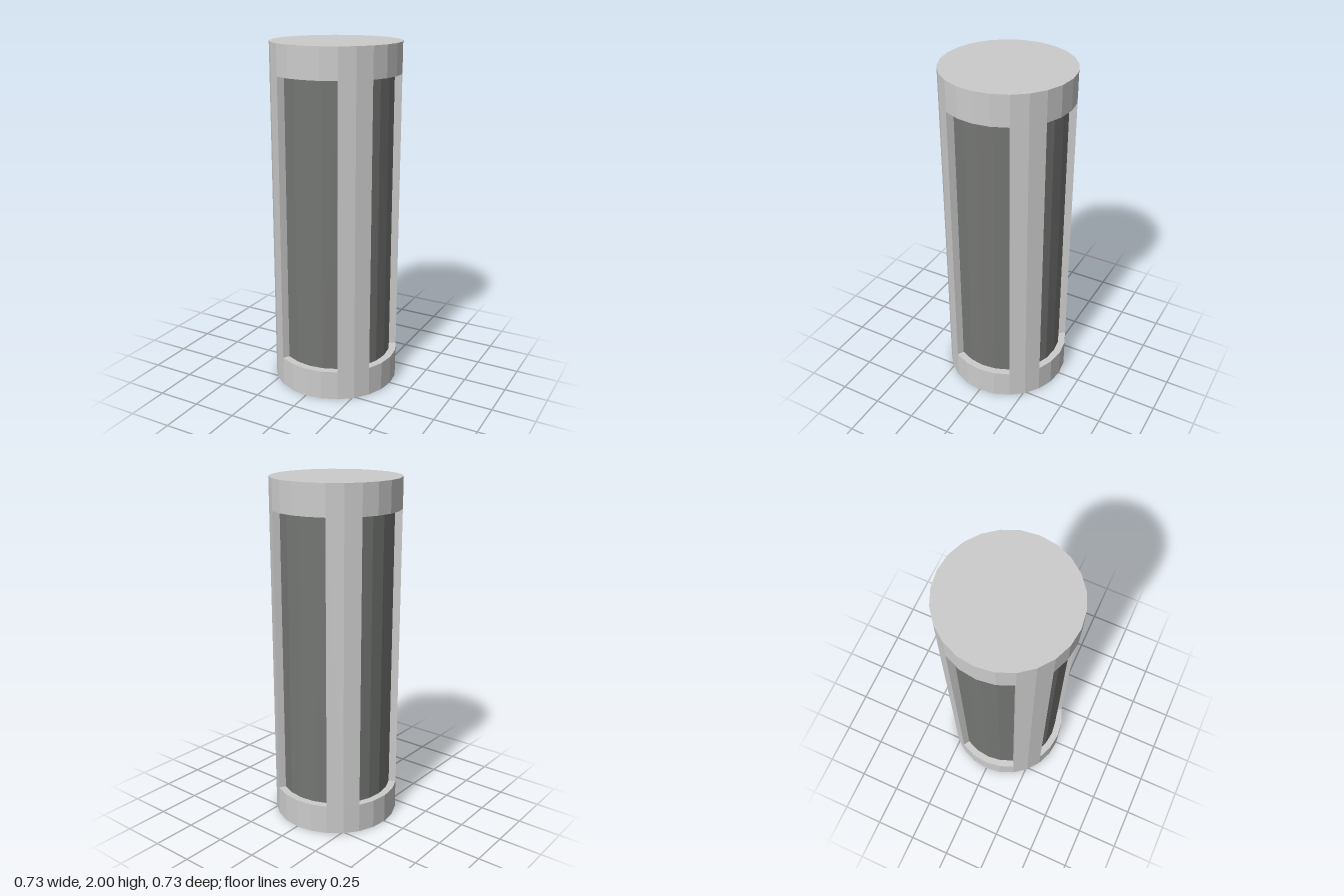
import * as THREE from 'three';

const SIDES = 24, R_OUT = 0.367, R_CORE = 0.325;
const HEIGHT = 2, CAP_H = 0.173;
const WINDOW_H = HEIGHT - 2 * CAP_H;

// Two-facet wide ring sector, standing upright and centred on the 45 degree diagonal
function postGeometry() {
  const shape = new THREE.Shape();
  const point = (r, deg) => {
    const a = THREE.MathUtils.degToRad(deg);
    return new THREE.Vector2(r * Math.cos(a), r * Math.sin(a));
  };
  shape.setFromPoints([
    ...[30, 45, 60].map(d => point(R_OUT, d)),
    ...[60, 45, 30].map(d => point(R_CORE, d)),
  ]);
  const geo = new THREE.ExtrudeGeometry(shape, { depth: WINDOW_H, bevelEnabled: false });
  return geo.rotateX(-Math.PI / 2);
}

export function createModel() {
  const group = new THREE.Group();
  group.name = 'canister';
  const shell = new THREE.MeshStandardMaterial({ color: 0xcccccc, flatShading: true });
  const dark = new THREE.MeshStandardMaterial({ color: 0x747673, flatShading: true });

  const add = (name, geo, mat, y) => {
    const mesh = new THREE.Mesh(geo, mat);
    mesh.name = name;
    mesh.position.y = y;
    group.add(mesh);
    return mesh;
  };

  // End caps
  const cap = new THREE.CylinderGeometry(R_OUT, R_OUT, CAP_H, SIDES);
  add('bottomCap', cap, shell, CAP_H / 2);
  add('topCap', cap, shell, HEIGHT - CAP_H / 2);

  // Dark inner cylinder behind the windows
  const core = new THREE.CylinderGeometry(R_CORE, R_CORE, WINDOW_H, SIDES, 1, true);
  add('core', core, dark, HEIGHT / 2);

  // Four posts joining the caps on the diagonals
  const post = postGeometry();
  ['BackLeft', 'BackRight', 'FrontRight', 'FrontLeft'].forEach((side, i) => {
    add('post' + side, post, shell, CAP_H).rotation.y = i * Math.PI / 2;
  });

  return group;
}
